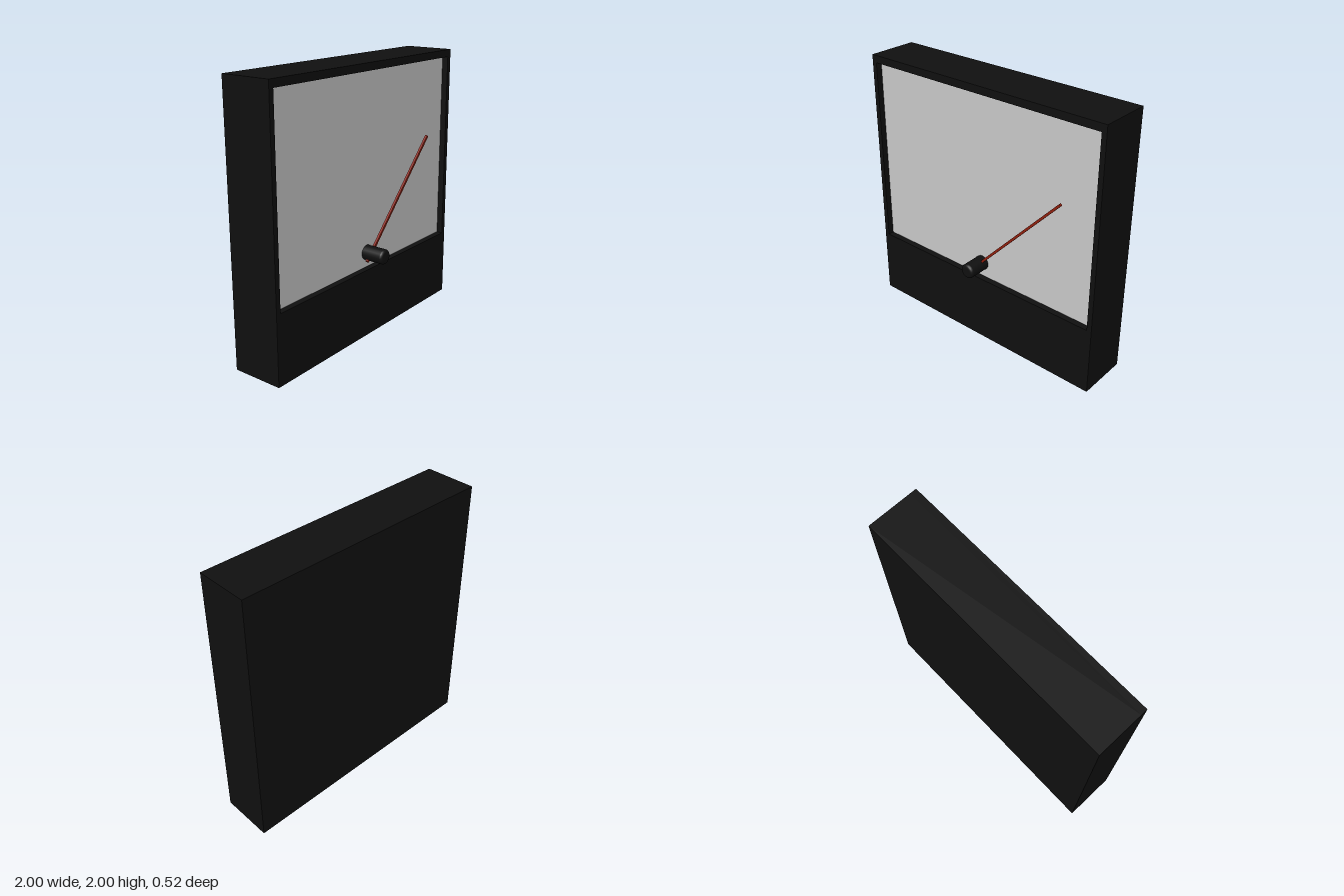
import * as THREE from 'three';

export function createModel() {
  const model = new THREE.Group();
  const material = (name, color) => {
    const m = new THREE.MeshStandardMaterial({ color });
    m.name = name;
    return m;
  };
  const black = material('black casing', 0x101010);
  const grey = material('pale grey dial', 0xcccccc);
  const red = material('red needle', 0x8f1f0e);

  const add = (name, geometry, mat, x, y, z) => {
    const mesh = new THREE.Mesh(geometry, mat);
    mesh.name = name;
    mesh.position.set(x, y, z);
    model.add(mesh);
    return mesh;
  };

  const back = -0.26, front = 0.13, recess = 0.05;
  const floor = front - recess;

  // Solid rear casing
  add('casing', new THREE.BoxGeometry(2, 2, floor - back), black, 0, 1, (floor + back) / 2);

  // Front bezel with the window opening
  const rectangle = (shape, x, y0, y1) =>
    shape.moveTo(-x, y0).lineTo(x, y0).lineTo(x, y1).lineTo(-x, y1).closePath();
  const outline = rectangle(new THREE.Shape(), 1, 0, 2);
  outline.holes.push(rectangle(new THREE.Path(), 0.963, 0.515, 1.945));
  add('bezel', new THREE.ExtrudeGeometry(outline, { depth: recess, bevelEnabled: false }), black, 0, 0, floor);

  // Recessed dial face
  add('dialFace', new THREE.BoxGeometry(1.926, 1.43, 0.004), grey, 0, 1.23, floor + 0.002);

  // Needle from its short tail through the pivot to the tip
  const tail = new THREE.Vector2(-0.05, 0.578), tip = new THREE.Vector2(0.7, 1.373);
  const span = tip.clone().sub(tail);
  const needle = add('needle', new THREE.BoxGeometry(span.length(), 0.018, 0.018), red,
    (tail.x + tip.x) / 2, (tail.y + tip.y) / 2, 0.126);
  needle.rotation.z = span.angle();

  // Pivot knob with a rounded front rim
  const radius = 0.056, rim = 0.022, length = 0.258 - floor;
  const profile = [new THREE.Vector2(radius, 0)];
  for (let i = 0; i <= 4; i++) {
    const a = (i / 4) * Math.PI / 2;
    profile.push(new THREE.Vector2(radius - rim + rim * Math.cos(a), length - rim + rim * Math.sin(a)));
  }
  profile.push(new THREE.Vector2(0, length));
  const knob = add('pivotKnob', new THREE.LatheGeometry(profile, 20), black, 0, 0.628, floor);
  knob.rotation.x = Math.PI / 2;

  return model;
}
